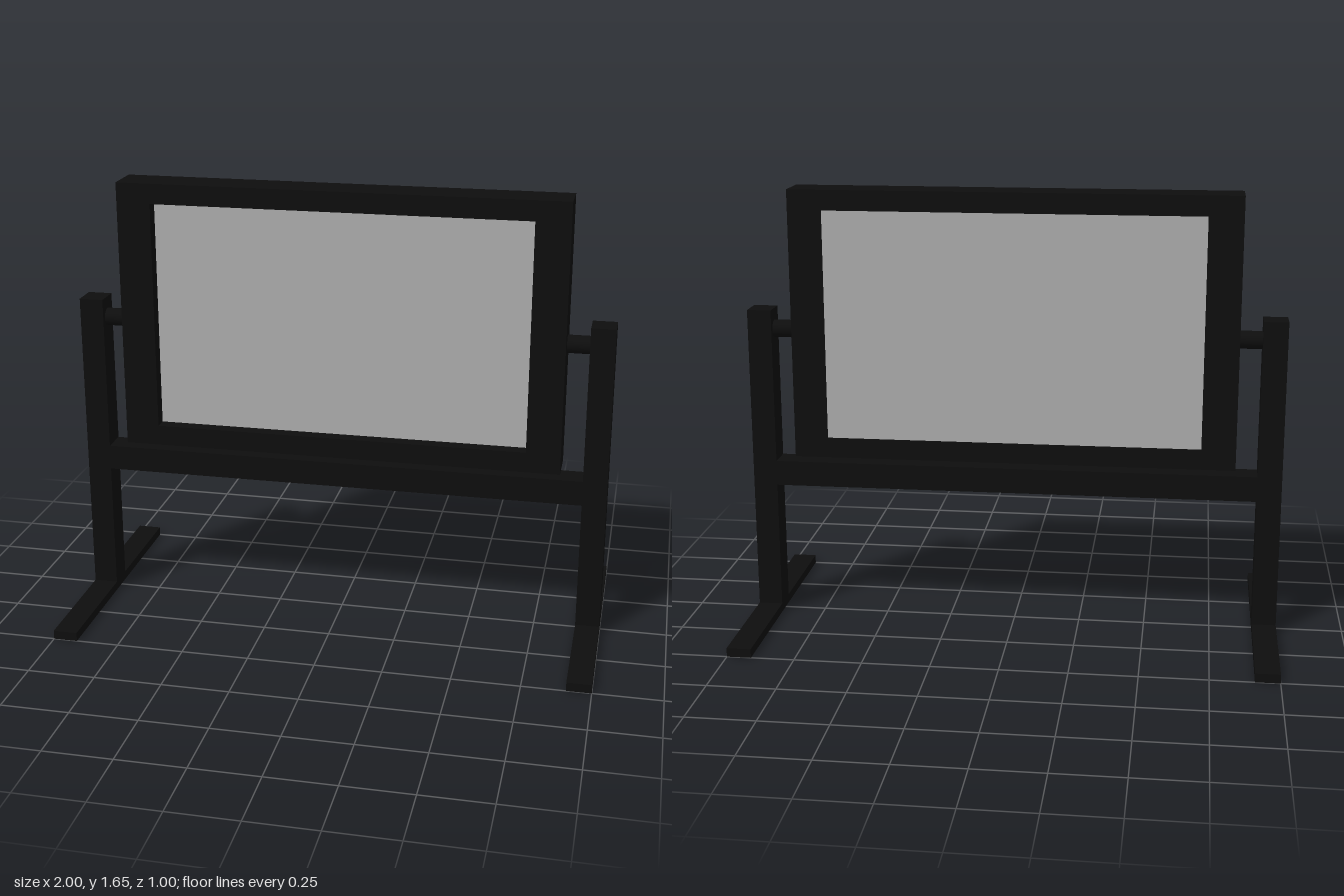
import * as THREE from 'three';

export function createModel() {
  const model = new THREE.Group();
  const black = new THREE.MeshStandardMaterial({ color: 0x0e0e0e });
  black.name = 'black frame';
  const grey = new THREE.MeshStandardMaterial({ color: 0xb0b0b0 });
  grey.name = 'grey board';

  const add = (name, geometry, material, x, y, z) => {
    const mesh = new THREE.Mesh(geometry, material);
    mesh.name = name;
    mesh.position.set(x, y, z);
    model.add(mesh);
    return mesh;
  };
  // Box given by its lower and upper limits
  const box = (name, material, [x0, x1], [y0, y1], [z0, z1]) =>
    add(name, new THREE.BoxGeometry(x1 - x0, y1 - y0, z1 - z0), material,
      (x0 + x1) / 2, (y0 + y1) / 2, (z0 + z1) / 2);

  // Stand: a post, foot and pivot on each side
  for (const [side, s] of [['left', 1], ['right', -1]]) {
    const xs = s > 0 ? [0.91, 1] : [-1, -0.91];
    box(side + 'Post', black, xs, [0.033, 1.2], [-0.05, 0.05]);
    box(side + 'Foot', black, xs, [0, 0.033], [-0.5, 0.5]);
    const pivot = new THREE.CylinderGeometry(0.033, 0.033, 0.085, 24);
    add(side + 'Pivot', pivot, black, s * 0.8675, 1.123, 0).rotation.z = Math.PI / 2;
  }
  box('crossRail', black, [-0.91, 0.91], [0.52, 0.615], [-0.05, 0.05]);

  // Board frame with a rectangular opening
  const rectangle = (path, x, y0, y1) =>
    path.moveTo(-x, y0).lineTo(x, y0).lineTo(x, y1).lineTo(-x, y1).closePath();
  const outline = new THREE.Shape();
  rectangle(outline, 0.827, 0.645, 1.655);
  const opening = new THREE.Path();
  rectangle(opening, 0.7, 0.722, 1.58);
  outline.holes.push(opening);
  const frame = new THREE.ExtrudeGeometry(outline, { depth: 0.15, bevelEnabled: false });
  add('boardFrame', frame, black, 0, 0, -0.075);

  // Board: recessed at the front, flush at the back
  box('board', grey, [-0.7, 0.7], [0.722, 1.58], [-0.075, 0.025]);

  return model;
}
